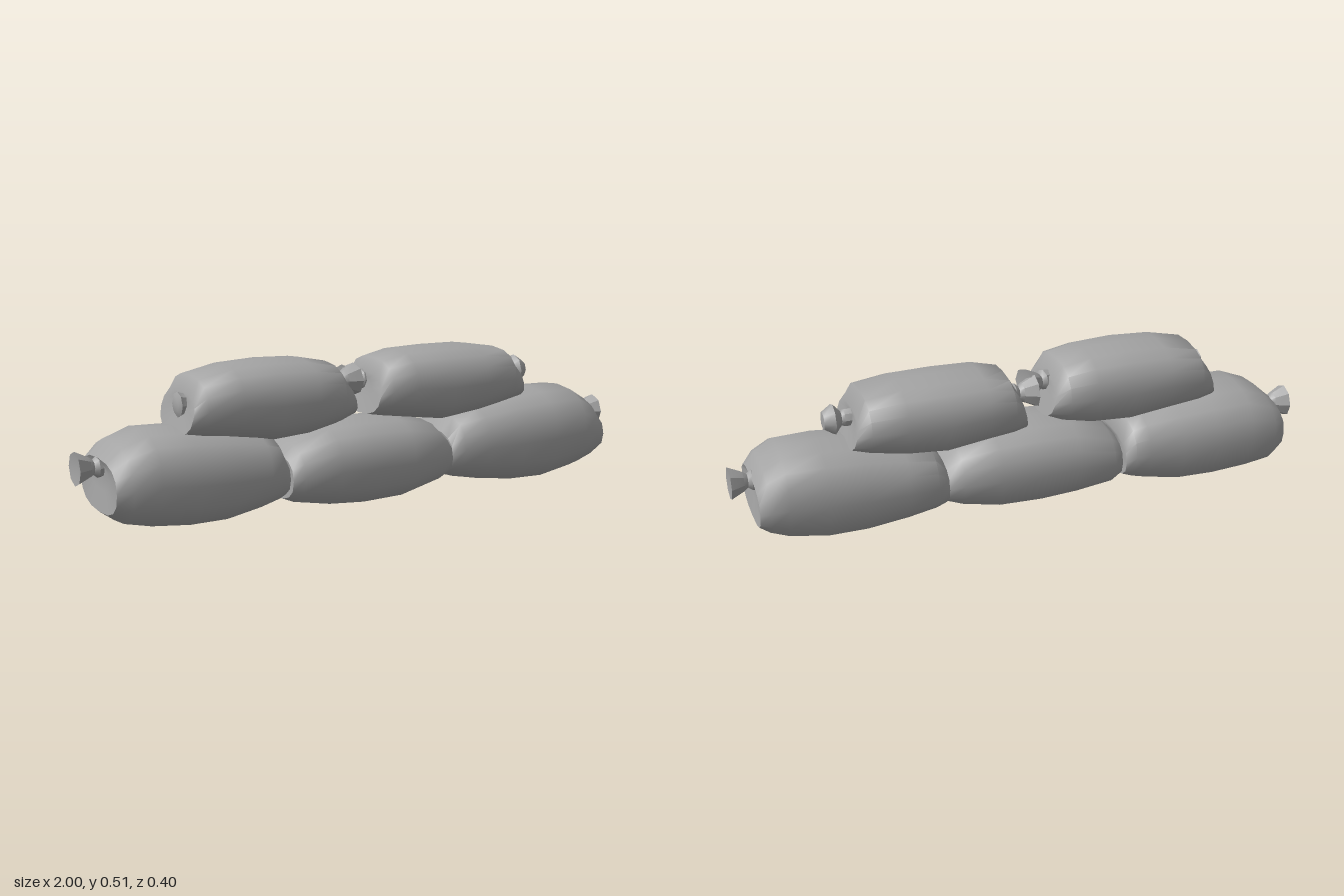
import * as THREE from 'three';
import { toCreasedNormals } from 'three/addons/utils/BufferGeometryUtils.js';

const SIDES = 16;
const sackcloth = new THREE.MeshStandardMaterial({ color: 0xa3a3a3 });
sackcloth.name = 'grey sackcloth';

// Superellipse ring; slant pushes the lower edge along x
function ring([x, y0, y1, z0, z1, slant = 0], power = 2.5) {
  const points = [];
  const round = (v) => Math.sign(v) * Math.abs(v) ** (2 / power);
  for (let j = 0; j < SIDES; j++) {
    const a = (j / SIDES) * Math.PI * 2;
    const c = round(Math.cos(a)), s = round(Math.sin(a));
    points.push(new THREE.Vector3(x - slant * c, (y0 + y1) / 2 + c * (y1 - y0) / 2, (z0 + z1) / 2 + s * (z1 - z0) / 2));
  }
  return points;
}

// Skin the rings along +x
function loft(rings) {
  const positions = [], index = [];
  rings.forEach((r) => r.forEach((p) => positions.push(p.x, p.y, p.z)));
  for (let i = 0; i < rings.length - 1; i++) {
    for (let j = 0; j < SIDES; j++) {
      const k = (j + 1) % SIDES;
      const a = i * SIDES + j, b = i * SIDES + k, c = a + SIDES, d = b + SIDES;
      if (i > 0) index.push(a, b, c);
      if (i < rings.length - 2) index.push(b, d, c);
      if (i === 0) index.push(a, d, c);
      if (i === rings.length - 2) index.push(a, b, c);
    }
  }
  // the pole rings need only one triangle per side
  const g = new THREE.BufferGeometry();
  g.setAttribute('position', new THREE.Float32BufferAttribute(positions, 3));
  g.setIndex(index);
  return toCreasedNormals(g, 0.85);
}

// Filled bag with slightly dished ends around the two tie points
function bag(name, sections, startTie, endTie) {
  const rings = sections.map((s) => ring(s));
  const cap = (edge, tie) => {
    const pole = new THREE.Vector3(...tie);
    return [edge.map((p) => p.clone().lerp(pole, 0.5)), edge.map(() => pole.clone())];
  };
  const [startMid, startPole] = cap(rings[0], startTie);
  const [endMid, endPole] = cap(rings[rings.length - 1], endTie);
  const mesh = new THREE.Mesh(loft([startPole, startMid, ...rings, endMid, endPole]), sackcloth);
  mesh.name = name;
  return mesh;
}

// Tied neck turned about x; profile points are [radius, distance outwards]
function neck(name, profile, [x, y, z], dir, tilt = 0) {
  const points = profile.map(([r, h]) => new THREE.Vector2(r, h));
  const g = toCreasedNormals(new THREE.LatheGeometry(points, 8), 0.7);
  const mesh = new THREE.Mesh(g, sackcloth);
  mesh.name = name;
  mesh.position.set(x, y, z);
  mesh.rotation.set(0, tilt, -dir * Math.PI / 2);
  return mesh;
}

const FLARED = [[0.03, -0.03], [0.036, 0.012], [0.024, 0.026], [0.034, 0.04], [0.056, 0.085], [0, 0.075]];
const KNOB = [[0.03, -0.03], [0.03, 0.01], [0.024, 0.02], [0.053, 0.045], [0.03, 0.08], [0, 0.084]];
const STUB = [[0.03, -0.03], [0.036, 0.004], [0.042, 0.018], [0.025, 0.026], [0, 0.027]];

export function createModel() {
  const model = new THREE.Group();
  model.name = 'sandbag stack';

  // Sections: x, bottom, top, back, front, slant
  model.add(
    // bottom row
    bag('lowerRightBag', [
      [-0.93, 0.07, 0.245, -0.165, 0.16],
      [-0.88, 0.035, 0.29, -0.2, 0.18],
      [-0.79, 0.015, 0.325, -0.203, 0.19],
      [-0.66, 0.004, 0.322, -0.203, 0.2],
      [-0.53, 0.006, 0.31, -0.198, 0.195],
      [-0.41, 0.03, 0.287, -0.185, 0.185],
      [-0.36, 0.045, 0.27, -0.18, 0.175],
      [-0.33, 0.06, 0.21, -0.16, 0.15],
    ], [-0.91, 0.21, -0.02], [-0.345, 0.17, 0]),
    bag('lowerMiddleBag', [
      [-0.325, 0.05, 0.205, -0.14, 0.16],
      [-0.29, 0.035, 0.24, -0.165, 0.18],
      [-0.16, 0.012, 0.283, -0.172, 0.197],
      [-0.03, 0.003, 0.29, -0.175, 0.2],
      [0.12, 0.008, 0.284, -0.175, 0.195],
      [0.25, 0.04, 0.255, -0.165, 0.17],
      [0.3, 0.06, 0.205, -0.14, 0.14],
    ], [-0.31, 0.17, 0], [0.285, 0.17, 0]),
    bag('lowerLeftBag', [
      [0.3, 0.06, 0.215, -0.15, 0.14],
      [0.34, 0.045, 0.27, -0.17, 0.16],
      [0.44, 0.025, 0.293, -0.18, 0.172],
      [0.58, 0.006, 0.318, -0.188, 0.18],
      [0.71, 0.004, 0.328, -0.19, 0.185],
      [0.84, 0.028, 0.324, -0.186, 0.178],
      [0.9, 0.055, 0.285, -0.175, 0.17],
      [0.932, 0.08, 0.235, -0.155, 0.16],
    ], [0.315, 0.17, 0], [0.91, 0.215, 0]),
    // top row
    bag('upperRightBag', [
      [-0.665, 0.3, 0.435, -0.12, 0.145, -0.016],
      [-0.62, 0.288, 0.484, -0.142, 0.165],
      [-0.5, 0.272, 0.51, -0.15, 0.175],
      [-0.36, 0.253, 0.517, -0.155, 0.182],
      [-0.23, 0.262, 0.511, -0.155, 0.178],
      [-0.13, 0.284, 0.49, -0.148, 0.168],
      [-0.08, 0.31, 0.435, -0.12, 0.14, 0.018],
    ], [-0.65, 0.395, 0.03], [-0.095, 0.415, 0.01]),
    bag('upperLeftBag', [
      [0.03, 0.295, 0.435, -0.15, 0.11, -0.014],
      [0.07, 0.285, 0.482, -0.172, 0.132],
      [0.16, 0.272, 0.503, -0.178, 0.145],
      [0.3, 0.252, 0.507, -0.184, 0.15],
      [0.44, 0.265, 0.504, -0.184, 0.148],
      [0.56, 0.29, 0.484, -0.175, 0.14],
      [0.605, 0.305, 0.43, -0.145, 0.12, 0.014],
    ], [0.045, 0.4, -0.05], [0.59, 0.395, -0.015]),
    // tied necks
    neck('lowerRightNeck', FLARED, [-0.915, 0.212, -0.02], -1),
    neck('lowerLeftNeck', FLARED, [0.915, 0.214, 0], 1),
    neck('upperRightOuterNeck', STUB, [-0.652, 0.395, 0.03], -1),
    neck('upperRightInnerNeck', FLARED, [-0.095, 0.415, 0.012], 1, 0.25),
    neck('upperLeftInnerNeck', FLARED, [0.05, 0.405, -0.045], -1),
    neck('upperLeftOuterNeck', KNOB, [0.605, 0.393, -0.013], 1),
  );
  return model;
}
